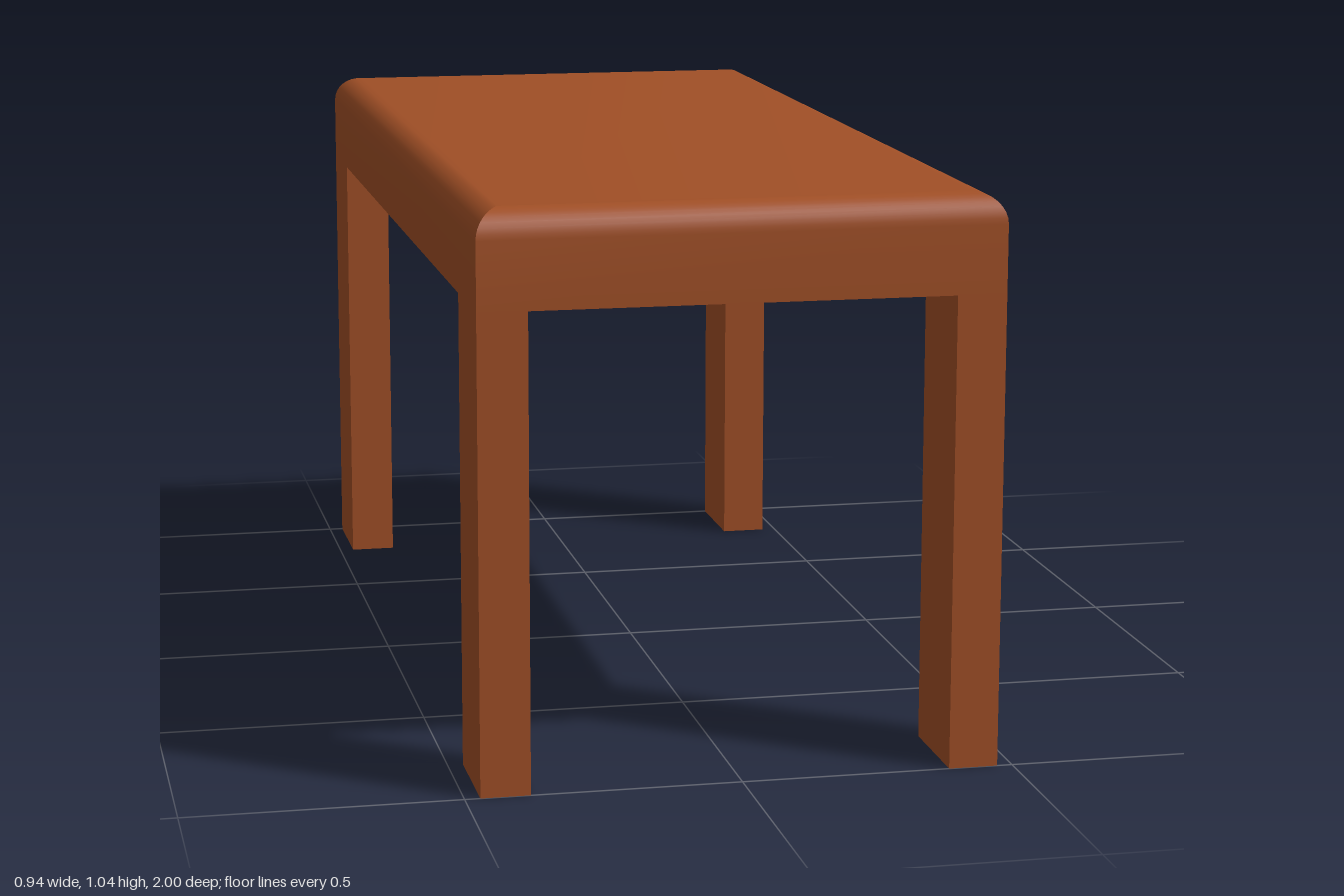
import * as THREE from 'three';
import { toCreasedNormals } from 'three/addons/utils/BufferGeometryUtils.js';

const HALF_X = 0.472, HALF_Z = 1, HEIGHT = 1.043, UNDERSIDE = 0.865;
const ROUND = 0.054, STEPS = 8;
const LEG_X = 0.09, LEG_Z = 0.2;

// Slab from stacked rectangles: square vertical corners, rounded upper edges
function slabGeometry() {
  const rings = [[0, UNDERSIDE]];
  for (let i = 0; i <= STEPS; i++) {
    const a = (i / STEPS) * Math.PI / 2;
    rings.push([ROUND * (1 - Math.cos(a)), HEIGHT - ROUND * (1 - Math.sin(a))]);
  }
  const positions = [], index = [];
  for (const [inset, y] of rings) {
    const x = HALF_X - inset, z = HALF_Z - inset;
    positions.push(-x, y, z, x, y, z, x, y, -z, -x, y, -z);
  }
  for (let r = 0; r < rings.length - 1; r++) {
    for (let k = 0; k < 4; k++) {
      const a = r * 4 + k, b = r * 4 + (k + 1) % 4;
      index.push(a, b, b + 4, a, b + 4, a + 4);
    }
  }
  const t = (rings.length - 1) * 4;
  index.push(t, t + 1, t + 2, t, t + 2, t + 3); // top face
  index.push(0, 2, 1, 0, 3, 2); // underside
  const geometry = new THREE.BufferGeometry();
  geometry.setAttribute('position', new THREE.Float32BufferAttribute(positions, 3));
  geometry.setIndex(index);
  return toCreasedNormals(geometry, 0.4);
}

export function createModel() {
  const model = new THREE.Group();
  model.name = 'table';
  const wood = new THREE.MeshStandardMaterial({ color: 0xa04f26 });
  wood.name = 'brown wood';

  const top = new THREE.Mesh(slabGeometry(), wood);
  top.name = 'tableTop';
  model.add(top);

  // Four legs flush with the outer corners
  const legGeometry = new THREE.BoxGeometry(LEG_X, UNDERSIDE, LEG_Z);
  for (const [sz, end] of [[1, 'front'], [-1, 'back']]) {
    for (const [sx, side] of [[1, 'Left'], [-1, 'Right']]) {
      const leg = new THREE.Mesh(legGeometry, wood);
      leg.name = `${end}${side}Leg`;
      leg.position.set(sx * (HALF_X - LEG_X / 2), UNDERSIDE / 2, sz * (HALF_Z - LEG_Z / 2));
      model.add(leg);
    }
  }
  return model;
}
